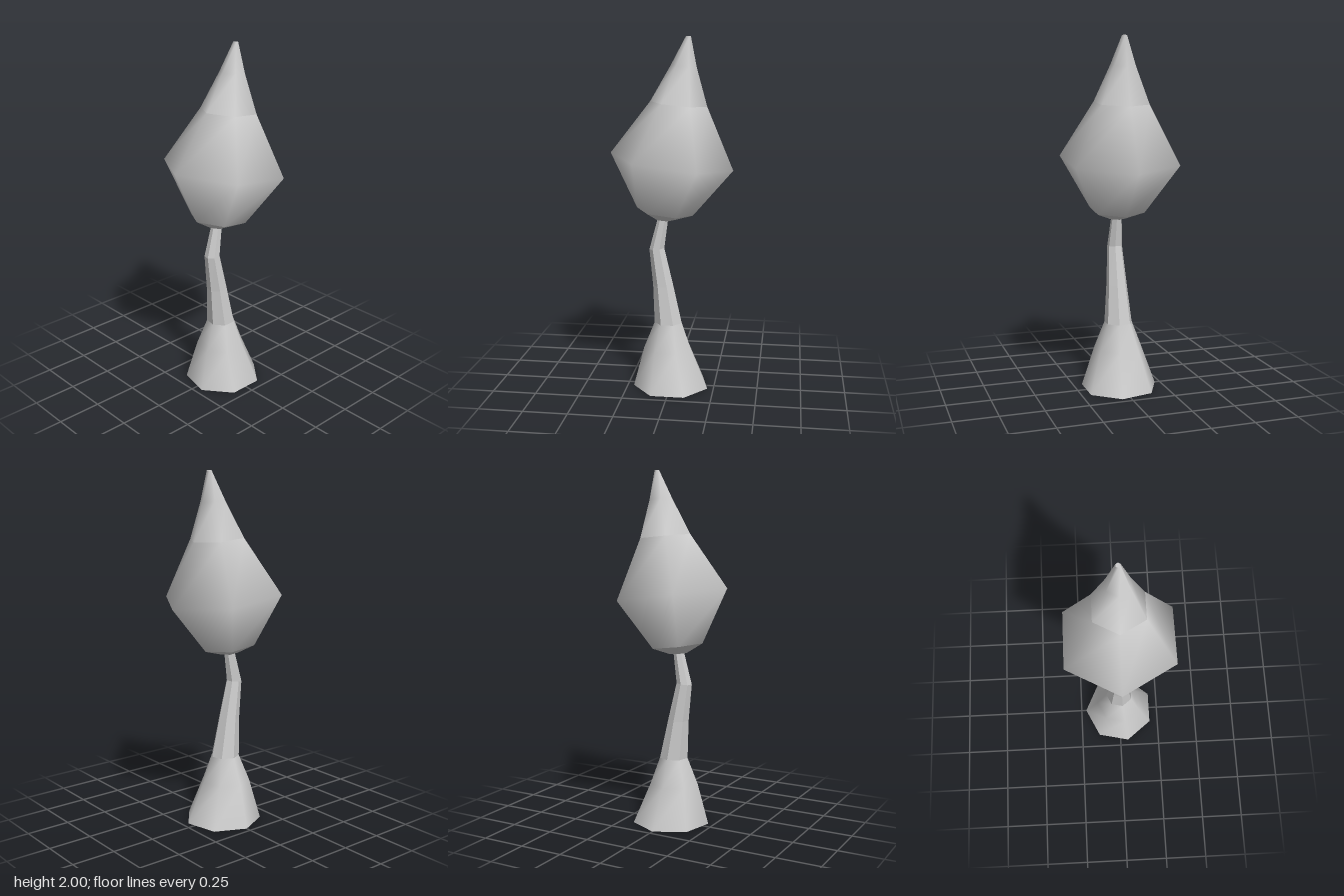
import * as THREE from 'three';

const material = new THREE.MeshStandardMaterial({ color: 0xcccccc });
const flatMaterial = new THREE.MeshStandardMaterial({ color: 0xcccccc, flatShading: true });

// Skins a stack of polygon rings [centreX, centreY, radius, rise from centre to +x corner]
function loft(rings, sides, startAngle, { capBottom = false, capTop = false } = {}) {
  const positions = [];
  const index = [];
  const addRing = ([cx, cy, r, rise]) => {
    const first = positions.length / 3;
    for (let j = 0; j < sides; j++) {
      const a = startAngle + (j / sides) * Math.PI * 2;
      positions.push(cx + r * Math.cos(a), cy + rise * Math.cos(a), r * Math.sin(a));
    }
    return first;
  };
  const starts = rings.map(addRing);
  for (let i = 0; i < rings.length - 1; i++) {
    for (let j = 0; j < sides; j++) {
      const k = (j + 1) % sides;
      const a = starts[i] + j, b = starts[i] + k;
      const c = starts[i + 1] + j, d = starts[i + 1] + k;
      index.push(a, c, b, b, c, d);
    }
  }
  // Caps get their own corners so their rims stay sharp
  const cap = (ring, up) => {
    const s = addRing(ring);
    for (let j = 1; j < sides - 1; j++) {
      if (up) index.push(s, s + j + 1, s + j);
      else index.push(s, s + j, s + j + 1);
    }
  };
  if (capBottom) cap(rings[0], false);
  if (capTop) cap(rings[rings.length - 1], true);

  const geometry = new THREE.BufferGeometry();
  geometry.setAttribute('position', new THREE.Float32BufferAttribute(positions, 3));
  geometry.setIndex(index);
  geometry.computeVertexNormals();
  return geometry;
}

export function createModel() {
  const tree = new THREE.Group();
  tree.name = 'tree';
  const add = (name, geometry, mat = material) => {
    const mesh = new THREE.Mesh(geometry, mat);
    mesh.name = name;
    tree.add(mesh);
  };

  // Seven-sided trunk: smooth flared foot, faceted bent stem
  const trunkStart = -Math.PI / 2;
  const stemFoot = [-0.017, 0.38, 0.081, 0];
  add('trunkBase', loft([
    [0, 0, 0.22, 0],
    [-0.02, 0.23, 0.139, 0],
    stemFoot,
  ], 7, trunkStart, { capBottom: true }));
  add('trunkStem', loft([
    stemFoot,
    [-0.046, 0.6, 0.06, 0],
    [-0.083, 0.815, 0.044, 0.005],
    [-0.046, 1.0, 0.03, 0],
    [-0.038, 1.04, 0.028, 0],
  ], 7, trunkStart, { capTop: true }), flatMaterial);

  // Six-sided canopy with tilted rings, leaning to a point
  const lowerRim = [-0.038, 1.03, 0.159, -0.02];
  const upperRim = [0.04, 1.635, 0.158, -0.015];
  add('canopyUnderside', loft([
    [-0.045, 0.985, 0.055, -0.005],
    lowerRim,
  ], 6, 0, { capBottom: true }), flatMaterial);
  add('canopyBody', loft([
    lowerRim,
    [0, 1.315, 0.345, -0.045],
    upperRim,
  ], 6, 0));
  add('canopyTip', loft([
    upperRim,
    [0.068, 1.84, 0.071, -0.008],
    [0.092, 2, 0.014, 0],
  ], 6, 0, { capTop: true }));

  return tree;
}
